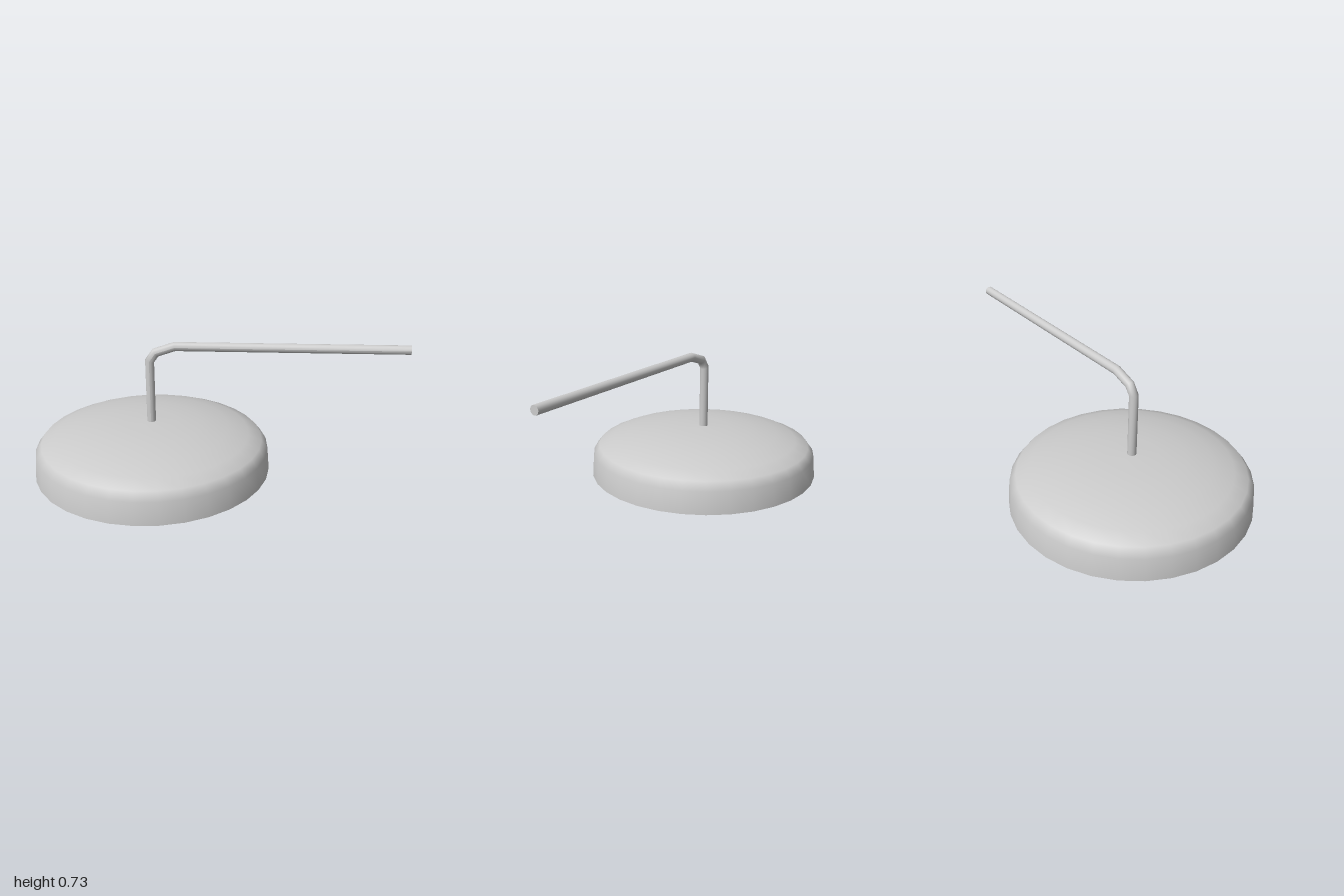
import * as THREE from 'three';

const material = new THREE.MeshStandardMaterial({ color: 0xcccccc });
const thin = new THREE.MeshStandardMaterial({ color: 0xcccccc, side: THREE.DoubleSide });
const points = (list) => list.map(([x, y]) => new THREE.Vector2(x, y));

// Rod that follows a path in the XY plane, with mitred bends and closed ends
function bentRod(path, radius, sides) {
  const last = path.length - 1;
  const geometry = new THREE.CylinderGeometry(radius, radius, 1, sides, last);
  const pos = geometry.attributes.position;
  for (let v = 0; v < pos.count; v++) {
    const i = Math.round((pos.getY(v) + 0.5) * last);
    const before = path[Math.max(i, 1)].clone().sub(path[Math.max(i, 1) - 1]).normalize();
    const j = Math.min(i, last - 1);
    const after = path[j + 1].clone().sub(path[j]).normalize();
    const along = before.clone().add(after).normalize();
    const offset = pos.getX(v) / along.dot(before);
    pos.setXY(v, path[i].x + along.y * offset, path[i].y - along.x * offset);
  }
  geometry.computeVertexNormals();
  return geometry;
}

export function createModel() {
  const group = new THREE.Group();
  const centreX = -0.355;
  const add = (name, geometry, mat, x = 0) => {
    const mesh = new THREE.Mesh(geometry, mat);
    mesh.name = name;
    mesh.position.x = x;
    group.add(mesh);
  };

  // Open, shallow domed shade
  const shadeProfile = points([
    [0.645, 0], [0.635, 0.125], [0.602, 0.168], [0.53, 0.2],
    [0.42, 0.232], [0.28, 0.256], [0.14, 0.267], [0, 0.27],
  ]);
  add('shade', new THREE.LatheGeometry(shadeProfile, 32), thin, centreX);

  // Stem rising from the shade and bending into the long arm
  const armPath = points([
    [centreX, 0.26], [centreX, 0.615], [-0.322, 0.662], [-0.22, 0.698], [1, 0.71],
  ]);
  add('arm', bentRod(armPath, 0.024, 16), material);

  // Bulb with its tapered neck, hanging from the inside of the dome
  const bulbProfile = [];
  for (let i = 0; i <= 10; i++) {
    const a = -Math.PI / 2 + (i / 10) * Math.PI * 0.75;
    bulbProfile.push(new THREE.Vector2(Math.max(0, 0.063 * Math.cos(a)), 0.146 + 0.063 * Math.sin(a)));
  }
  bulbProfile.push(...points([[0.03, 0.268]]));
  add('bulb', new THREE.LatheGeometry(bulbProfile, 20), material, centreX);

  return group;
}
